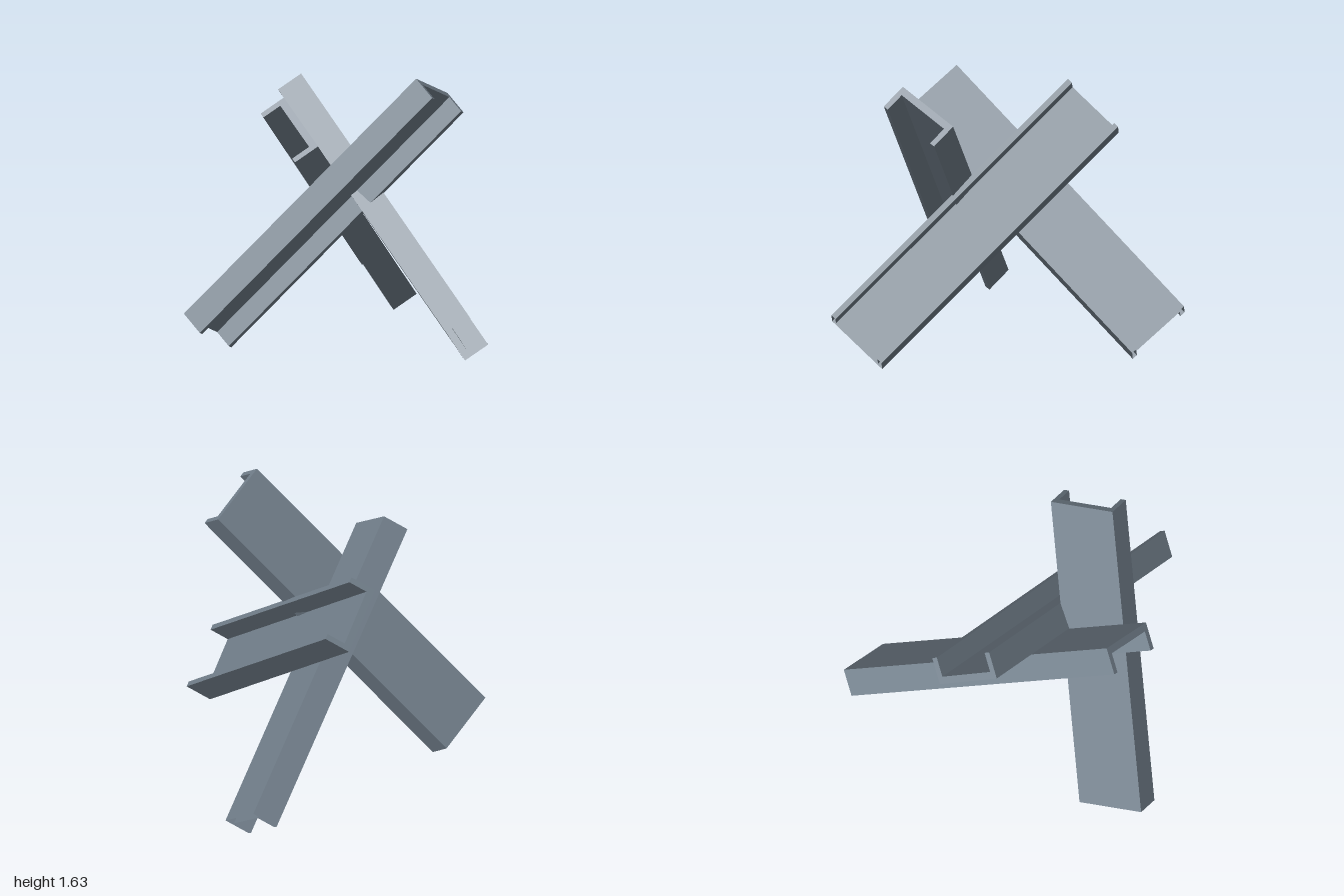
import * as THREE from 'three';

const WIDTH = 0.4, DEPTH = 0.16, WEB = 0.043, FLANGE = 0.032;

// U-shaped channel section: web along x at y = 0, flanges rising to y = DEPTH
function channelSection() {
  const h = WIDTH / 2;
  const half = [[h, 0], [h, DEPTH], [h - FLANGE, DEPTH], [h - FLANGE, WEB]];
  const mirrored = half.map(([x, y]) => [-x, y]).reverse();
  return new THREE.Shape([...half, ...mirrored].map(([x, y]) => new THREE.Vector2(x, y)));
}

// Beam between two points on the middle of the web's back, flanges pointing along "open"
function beam(name, from, to, open, section, material) {
  const start = new THREE.Vector3(...from);
  const axis = new THREE.Vector3(...to).sub(start);
  const length = axis.length();
  axis.normalize();
  const across = new THREE.Vector3(...open).cross(axis).normalize();
  const outward = axis.clone().cross(across);

  // The foot of the beam is open: leave out its cap, the first 6 triangles
  const solid = new THREE.ExtrudeGeometry(section, { depth: length, bevelEnabled: false });
  const corners = solid.attributes.position.array.slice(6 * 9);
  const geometry = new THREE.BufferGeometry();
  geometry.setAttribute('position', new THREE.BufferAttribute(corners, 3));
  geometry.applyMatrix4(new THREE.Matrix4().makeBasis(across, outward, axis).setPosition(start));
  geometry.computeVertexNormals();

  const mesh = new THREE.Mesh(geometry, material);
  mesh.name = name;
  return mesh;
}

export function createModel() {
  const group = new THREE.Group();
  group.name = 'crossedBeamBarrier';
  const steel = new THREE.MeshStandardMaterial({ color: 0x73808c, flatShading: true, side: THREE.DoubleSide });
  const section = channelSection();

  // Three channel beams crossing near the middle
  group.add(
    beam('frontBeam', [-0.735, 0.17, 0.175], [0.56, 1.555, 0.455], [0.47, -0.58, 0.665], section, steel),
    beam('leftBeam', [0.635, 0.12, 0.856], [-0.13, 1.28, -0.47], [0.83, 0.555, 0], section, steel),
    beam('backBeam', [0.575, 0.21, -0.856], [-0.195, 1.37, 0.46], [-0.83, -0.555, 0], section, steel),
  );
  return group;
}
